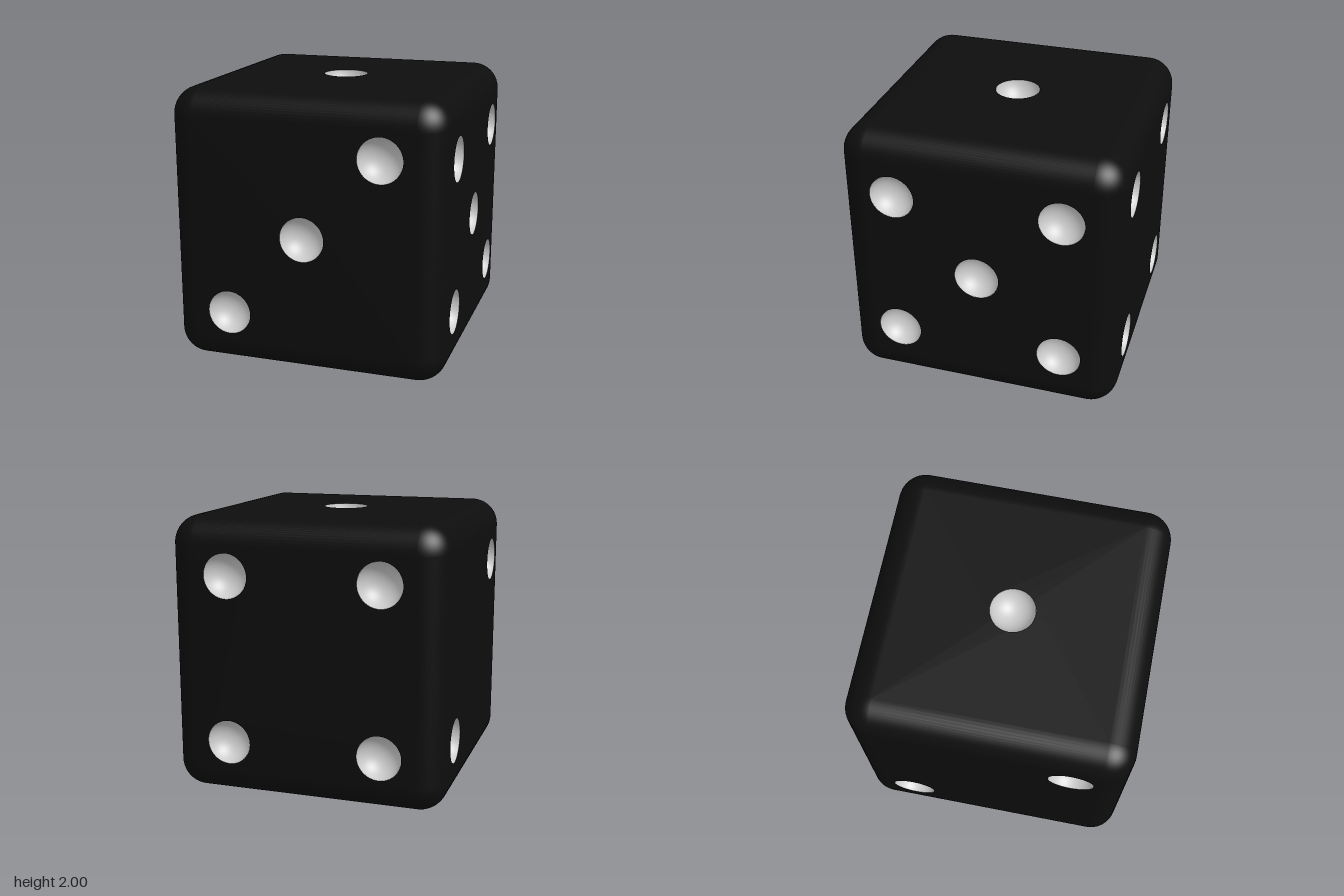
import * as THREE from 'three';
import { RoundedBoxGeometry } from 'three/addons/geometries/RoundedBoxGeometry.js';

const HALF = 1, ROUND = 0.2, FLAT = HALF - ROUND;
const PIP_R = 0.16, PIP_DEPTH = 0.145, SEG = 48;
const A = 0.555, B = 0.6; // pip offsets from the face centre

// Rounded shell without its flat face centres
function shellGeometry() {
  const box = new RoundedBoxGeometry(2 * HALF, 2 * HALF, 2 * HALF, 8, ROUND);
  const src = box.index ? box.toNonIndexed() : box;
  const p = src.attributes.position, n = src.attributes.normal;
  const pos = [], nor = [];
  for (let i = 0; i < p.count; i += 3) {
    const tri = [i, i + 1, i + 2];
    const flat = ['getX', 'getY', 'getZ'].some((get) =>
      tri.every((k) => Math.abs(p[get](k)) > HALF - 1e-5));
    if (flat) continue;
    for (const k of tri) {
      pos.push(p.getX(k), p.getY(k), p.getZ(k));
      nor.push(n.getX(k), n.getY(k), n.getZ(k));
    }
  }
  const g = new THREE.BufferGeometry();
  g.setAttribute('position', new THREE.Float32BufferAttribute(pos, 3));
  g.setAttribute('normal', new THREE.Float32BufferAttribute(nor, 3));
  return g;
}

// Flat square face with a round hole for each pip
function faceGeometry(pips) {
  const s = FLAT;
  const shape = new THREE.Shape([[-s, -s], [s, -s], [s, s], [-s, s]].map(([x, y]) => new THREE.Vector2(x, y)));
  for (const [u, v] of pips) {
    shape.holes.push(new THREE.Path().absarc(u, v, PIP_R, 0, Math.PI * 2, true));
  }
  return new THREE.ShapeGeometry(shape, SEG);
}

// Hollow spherical dish, opening towards +z
function dishGeometry() {
  const R = (PIP_R ** 2 + PIP_DEPTH ** 2) / (2 * PIP_DEPTH);
  const centre = R - PIP_DEPTH;
  const max = Math.atan2(PIP_R, centre);
  const profile = [];
  for (let i = 0; i <= 14; i++) {
    const a = max * (1 - i / 14);
    profile.push(new THREE.Vector2(R * Math.sin(a), centre - R * Math.cos(a)));
  }
  return new THREE.LatheGeometry(profile, SEG).rotateX(Math.PI / 2);
}

export function createModel() {
  const model = new THREE.Group();
  model.name = 'die';
  const black = new THREE.MeshStandardMaterial({ color: 0x0d0d0d });
  const grey = new THREE.MeshStandardMaterial({ color: 0xcccccc });

  const shell = new THREE.Mesh(shellGeometry(), black);
  shell.name = 'roundedEdges';
  shell.position.y = HALF;
  model.add(shell);

  // Each face: name, rotation about x and y, pip positions seen from outside
  const Q = Math.PI / 2;
  const faces = [
    ['top', -Q, 0, [[0, 0]]],
    ['left', 0, -Q, [[B, A], [-B, -A]]],
    ['front', 0, 0, [[A, B], [0, 0], [-A, -B]]],
    ['back', 0, 2 * Q, [[A, B], [-A, B], [A, -B], [-A, -B]]],
    ['right', 0, Q, [[B, A], [-B, A], [0, 0], [B, -A], [-B, -A]]],
    ['bottom', Q, 0, [[A, B], [A, 0], [A, -B], [-A, B], [-A, 0], [-A, -B]]],
  ];
  const dish = dishGeometry();
  for (const [name, rx, ry, pips] of faces) {
    const side = new THREE.Group();
    side.name = name + 'Side';
    side.position.y = HALF;
    side.rotation.set(rx, ry, 0);

    const face = new THREE.Mesh(faceGeometry(pips), black);
    face.name = name + 'Face';
    face.position.z = HALF;
    side.add(face);

    pips.forEach(([u, v], i) => {
      const pip = new THREE.Mesh(dish, grey);
      pip.name = `${name}Pip${i + 1}`;
      pip.position.set(u, v, HALF);
      side.add(pip);
    });
    model.add(side);
  }
  return model;
}
